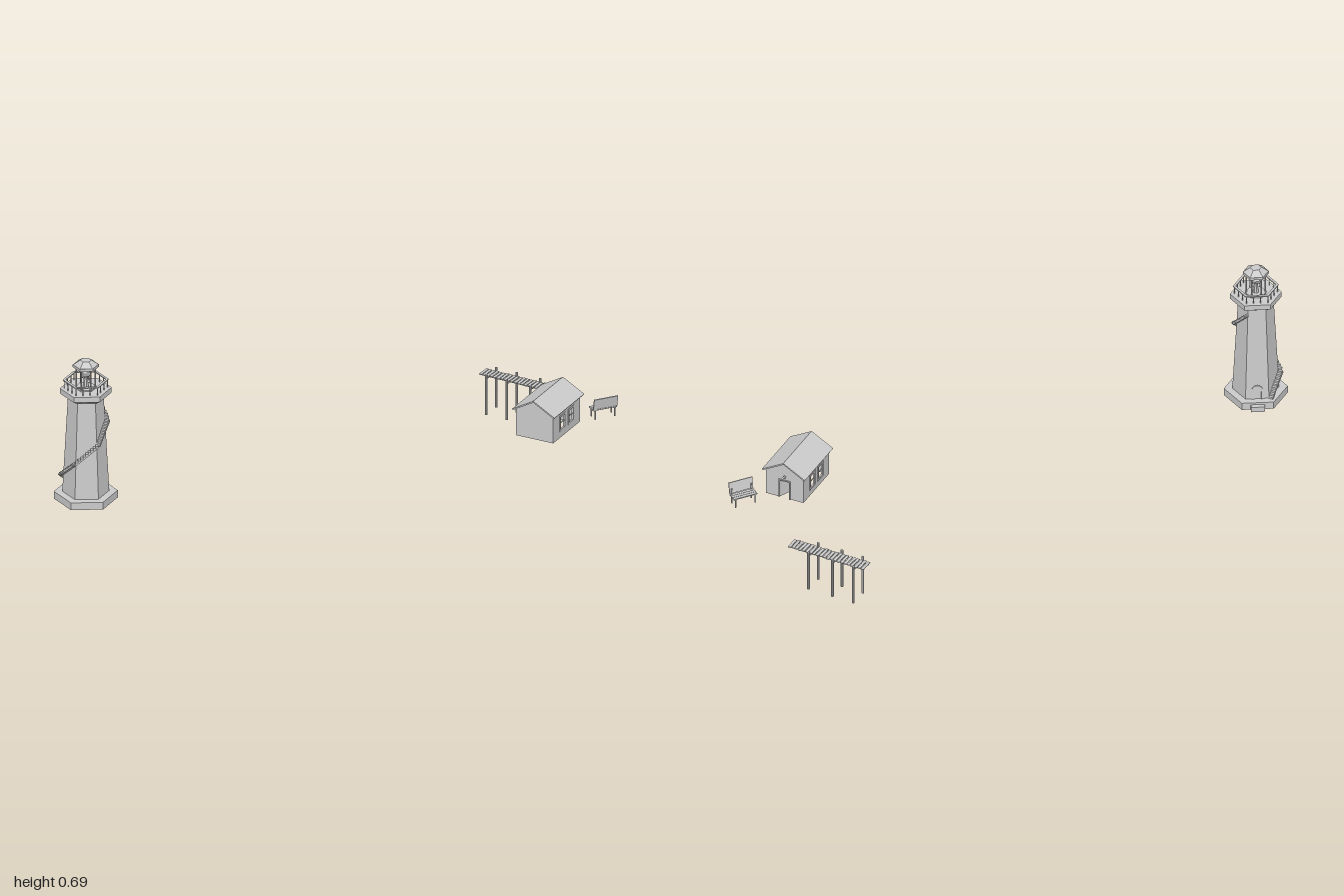
import * as THREE from 'three';

const mat = new THREE.MeshStandardMaterial({ color: 0xcccccc, flatShading: true, side: THREE.DoubleSide });
const deg = Math.PI / 180;

function add(parent, name, geo, x = 0, y = 0, z = 0) {
  const m = new THREE.Mesh(geo, mat);
  m.name = name;
  m.position.set(x, y, z);
  parent.add(m);
  return m;
}
const box = (parent, name, w, h, d, x, y, z) => add(parent, name, new THREE.BoxGeometry(w, h, d), x, y, z);

function group(parent, name, x = 0, y = 0, z = 0, turn = 0) {
  const g = new THREE.Group();
  g.name = name;
  g.position.set(x, y, z);
  g.rotation.y = turn;
  parent.add(g);
  return g;
}

// Six-sided frustum between two heights
const hex = (parent, name, r0, r1, y0, y1) =>
  add(parent, name, new THREE.CylinderGeometry(r1, r0, y1 - y0, 6), 0, (y0 + y1) / 2, 0);

const shapeOf = pts => new THREE.Shape(pts.map(p => new THREE.Vector2(p[0], p[1])));
const rect = (x0, y0, x1, y1) => shapeOf([[x0, y0], [x1, y0], [x1, y1], [x0, y1]]);
const extrude = (shape, depth, curveSegments = 8) =>
  new THREE.ExtrudeGeometry(shape, { depth, bevelEnabled: false, curveSegments });

function buildLighthouse(root) {
  const t = group(root, 'lighthouse', -0.29, 0, 0.897, 25 * deg);
  const radiusAt = y => 0.083 - 0.02 * (y - 0.175) / 0.37;
  hex(t, 'plinth', 0.113, 0.113, 0.147, 0.175);
  hex(t, 'tower', 0.083, 0.063, 0.175, 0.547);
  hex(t, 'galleryFlare', 0.072, 0.0915, 0.545, 0.557);
  hex(t, 'galleryDeck', 0.0915, 0.0915, 0.557, 0.577);

  // Gallery railing: a flat hexagonal ring on slim posts
  const corner = (r, k) => [r * Math.cos((30 + 60 * k) * deg), r * Math.sin((30 + 60 * k) * deg)];
  const hexPts = r => [0, 1, 2, 3, 4, 5].map(k => corner(r, k));
  const ring = shapeOf(hexPts(0.081));
  ring.holes.push(shapeOf(hexPts(0.071)));
  add(t, 'galleryRail', extrude(ring, 0.004), 0, 0.61, 0).rotation.x = Math.PI / 2;
  for (let k = 0; k < 6; k++) {
    const a = corner(0.076, k), b = corner(0.076, k + 1);
    for (let j = 0; j < 3; j++) {
      const f = j / 3;
      add(t, 'railPost', new THREE.CylinderGeometry(0.0017, 0.0017, 0.031, 6),
        a[0] + (b[0] - a[0]) * f, 0.592, a[1] + (b[1] - a[1]) * f);
    }
    // Lantern room columns
    const c = corner(0.034, k);
    add(t, 'lanternColumn', new THREE.CylinderGeometry(0.0026, 0.0026, 0.084, 6), c[0], 0.618, c[1]);
  }

  // Lantern room
  hex(t, 'lanternSill', 0.038, 0.038, 0.577, 0.582);
  hex(t, 'lanternRoofEave', 0.046, 0.046, 0.658, 0.668);
  hex(t, 'lanternRoof', 0.045, 0.02, 0.668, 0.685);
  add(t, 'lampPedestal', new THREE.CylinderGeometry(0.007, 0.011, 0.04, 8), 0, 0.6, 0);
  add(t, 'lampPole', new THREE.CylinderGeometry(0.005, 0.005, 0.04, 8), 0, 0.64, 0);
  const lamp = add(t, 'lamp', new THREE.CylinderGeometry(0.014, 0.009, 0.026, 10), 0, 0.63, 0);
  lamp.rotation.set(80 * deg, 0, 50 * deg);

  // Stairs climb five faces of the tower
  const stepsPerFace = 9, rise = 0.07, width = 0.017;
  for (let k = 0; k < 5; k++) {
    const normal = (180 - 60 * k) * deg;
    const face = group(t, 'stairFlight', 0, 0, 0, Math.PI / 2 - normal);
    const y0 = 0.175 + rise * k, y1 = y0 + rise;
    const r0 = radiusAt(y0), r1 = radiusAt(y1), run = (r0 + r1) / 2 + 0.007;
    const zMid = 0.866 * (r0 + r1) / 2 + width / 2 - 0.001;
    const plate = box(face, 'stairStringer', Math.hypot(run, rise), 0.005, width, 0, (y0 + y1) / 2 - 0.005, zMid);
    plate.rotation.z = Math.atan2(rise, run);
    for (let i = 0; i < stepsPerFace; i++) {
      const f = (i + 0.5) / stepsPerFace, y = y0 + rise * f, r = radiusAt(y);
      box(face, 'stairStep', run / stepsPerFace, 0.007, width,
        -run / 2 + run * f, y, 0.866 * r + width / 2 - 0.001);
    }
  }

  // Arched doorway and its entrance step
  const door = group(t, 'entrance', 0, 0, 0, Math.PI / 2 - 240 * deg);
  box(door, 'entranceStep', 0.05, 0.02, 0.05, 0, 0.157, 0.09);
  const arch = (w, h) => {
    const s = new THREE.Shape();
    s.moveTo(-w, 0);
    s.lineTo(w, 0);
    s.lineTo(w, h);
    s.absarc(0, h, w, 0, Math.PI, false);
    s.lineTo(-w, 0);
    return s;
  };
  const surround = arch(0.019, 0.036);
  surround.holes.push(arch(0.014, 0.037));
  const lean = -Math.atan2(0.0173, 0.37);
  add(door, 'doorSurround', extrude(surround, 0.007), 0, 0.175, 0.069).rotation.x = lean;
  add(door, 'towerDoor', extrude(arch(0.014, 0.036), 0.002), 0, 0.175, 0.071).rotation.x = lean;
}

function buildHouse(root) {
  const h = group(root, 'house', 0.275, 0, -0.725, 0.433);
  const W = 0.0735, L = 0.1025, T = 0.004, floor = 0.162, eave = 0.267, ridge = 0.309;

  // Gable walls; the back one has a door opening
  const top = [[W, eave], [0, ridge], [-W, eave]];
  add(h, 'frontWall', extrude(shapeOf([[-W, floor], [W, floor], ...top]), T), 0, 0, L - T);
  const d = 0.021, dTop = 0.236;
  add(h, 'backWall', extrude(shapeOf([[-W, floor], [-d, floor], [-d, dTop], [d, dTop], [d, floor], [W, floor], ...top]), T), 0, 0, -L);
  for (const s of [-1, 1]) box(h, 'doorPost', 0.004, dTop - floor, 0.008, s * d, (dTop + floor) / 2, -L);
  box(h, 'doorLintel', 0.046, 0.004, 0.008, 0, dTop, -L);
  const hinge = group(h, 'houseDoor', 0.019, 0, -L + T, 65 * deg);
  box(hinge, 'doorLeaf', 0.038, 0.07, 0.003, -0.019, 0.198, 0);
  const light = add(h, 'porchLight', new THREE.CylinderGeometry(0.005, 0.005, 0.008, 8), 0, 0.252, -L - 0.003);
  light.rotation.x = Math.PI / 2;

  // Side walls, each with two framed windows
  for (const s of [-1, 1]) {
    const side = group(h, 'sideWall', 0, 0, 0, s * Math.PI / 2);
    const wall = rect(-L, floor, L, eave + 0.002);
    for (const x of [-0.032, 0.032]) {
      wall.holes.push(rect(x - 0.017, 0.191, x + 0.017, 0.243));
      const frame = rect(x - 0.022, 0.186, x + 0.022, 0.248);
      frame.holes.push(rect(x - 0.015, 0.193, x + 0.015, 0.241));
      add(side, 'windowFrame', extrude(frame, 0.007), 0, 0, W - 0.005);
      box(side, 'windowBar', 0.03, 0.003, 0.003, x, 0.217, W - 0.002);
    }
    add(side, 'wallPanel', extrude(wall, T), 0, 0, W - T);

    // Roof slope
    const slope = box(h, 'roofSlope', 0.0955, 0.005, 0.227, s * 0.0415, 0.2885, 0);
    slope.rotation.z = -s * Math.atan2(0.047, 0.083);
  }
}

function buildBench(root) {
  const b = group(root, 'bench', 0.306, 0, -0.946, -0.237);
  for (let i = 0; i < 3; i++) box(b, 'seatSlat', 0.011, 0.004, 0.092, -0.014 + i * 0.0125, 0.194, 0);
  const back = box(b, 'backrest', 0.004, 0.042, 0.092, 0.021, 0.219, 0);
  back.rotation.z = -0.2;
  for (const z of [-0.038, 0.038]) {
    box(b, 'seatBearer', 0.038, 0.004, 0.005, 0, 0.19, z);
    for (const x of [-0.016, 0.015]) box(b, 'leg', 0.004, 0.033, 0.004, x, 0.174, z);
    box(b, 'backSupport', 0.004, 0.03, 0.005, 0.015, 0.204, z);
  }
}

function buildPier(root) {
  const p = group(root, 'pier', -0.124, 0, -0.906, 0.387);
  // Slightly uneven planks on two long beams
  const count = 22, length = 0.307;
  for (let i = 0; i < count; i++) {
    const x = -length / 2 + (i + 0.5) * length / count;
    const plank = box(p, 'plank', 0.0105, 0.003, 0.052, x, 0.1455 + 0.0006 * Math.sin(i * 2.3), 0.001 * Math.sin(i * 1.7));
    plank.rotation.set(0.02 * Math.sin(i * 3.1), 0.04 * Math.sin(i * 1.3), 0);
  }
  for (const z of [-0.016, 0.016]) box(p, 'longBeam', 0.3, 0.004, 0.005, 0, 0.142, z);
  for (const x of [-0.117, -0.033, 0.063]) {
    box(p, 'crossBeam', 0.005, 0.005, 0.07, x, 0.1405, 0);
    for (const z of [-0.035, 0.035]) {
      add(p, 'pile', new THREE.CylinderGeometry(0.005, 0.005, 0.155, 8), x, 0.0775, z);
    }
  }
}

export function createModel() {
  const root = new THREE.Group();
  root.name = 'lighthouseCoast';
  buildLighthouse(root);
  buildHouse(root);
  buildBench(root);
  buildPier(root);
  return root;
}
